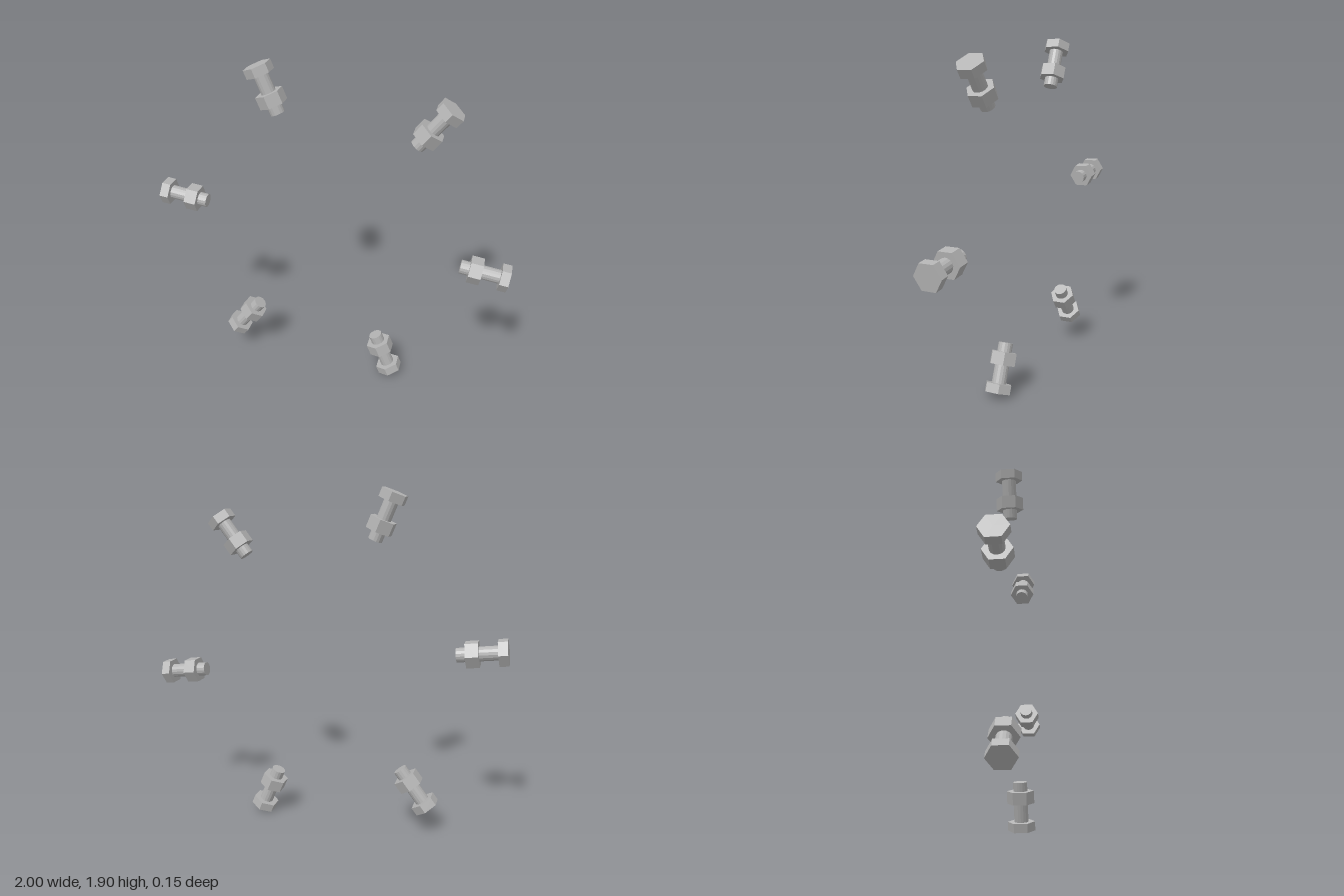
import * as THREE from 'three';

const CENTRE_Y = 0.949, COUNT = 6, FIRST_ANGLE = THREE.MathUtils.degToRad(-7.6);

// Faceted prism along y, from y0 to y1, with one corner facing +z
function prism(radius, y0, y1, sides) {
  const geometry = new THREE.CylinderGeometry(radius, radius, y1 - y0, sides).toNonIndexed();
  geometry.translate(0, (y0 + y1) / 2, 0);
  geometry.computeVertexNormals();
  return geometry;
}

export function createModel() {
  const steel = new THREE.MeshStandardMaterial({ color: 0xb4b4b4 });
  steel.name = 'steel grey';

  // y is the distance from the middle of the ring
  const parts = {
    boltHead: prism(0.075, 0.951, 1.0, 6),
    nut: prism(0.075, 0.784, 0.852, 6),
    shank: prism(0.039, 0.735, 0.951, 16),
  };

  const model = new THREE.Group();
  model.name = 'boltRing';

  // Bolts point inwards, heads on the outside
  for (let i = 0; i < COUNT; i++) {
    const bolt = new THREE.Group();
    bolt.name = `bolt${i + 1}`;
    for (const [name, geometry] of Object.entries(parts)) {
      const mesh = new THREE.Mesh(geometry, steel);
      mesh.name = name;
      bolt.add(mesh);
    }
    bolt.position.y = CENTRE_Y;
    bolt.rotation.z = FIRST_ANGLE + (i * 2 * Math.PI) / COUNT - Math.PI / 2;
    model.add(bolt);
  }
  return model;
}
